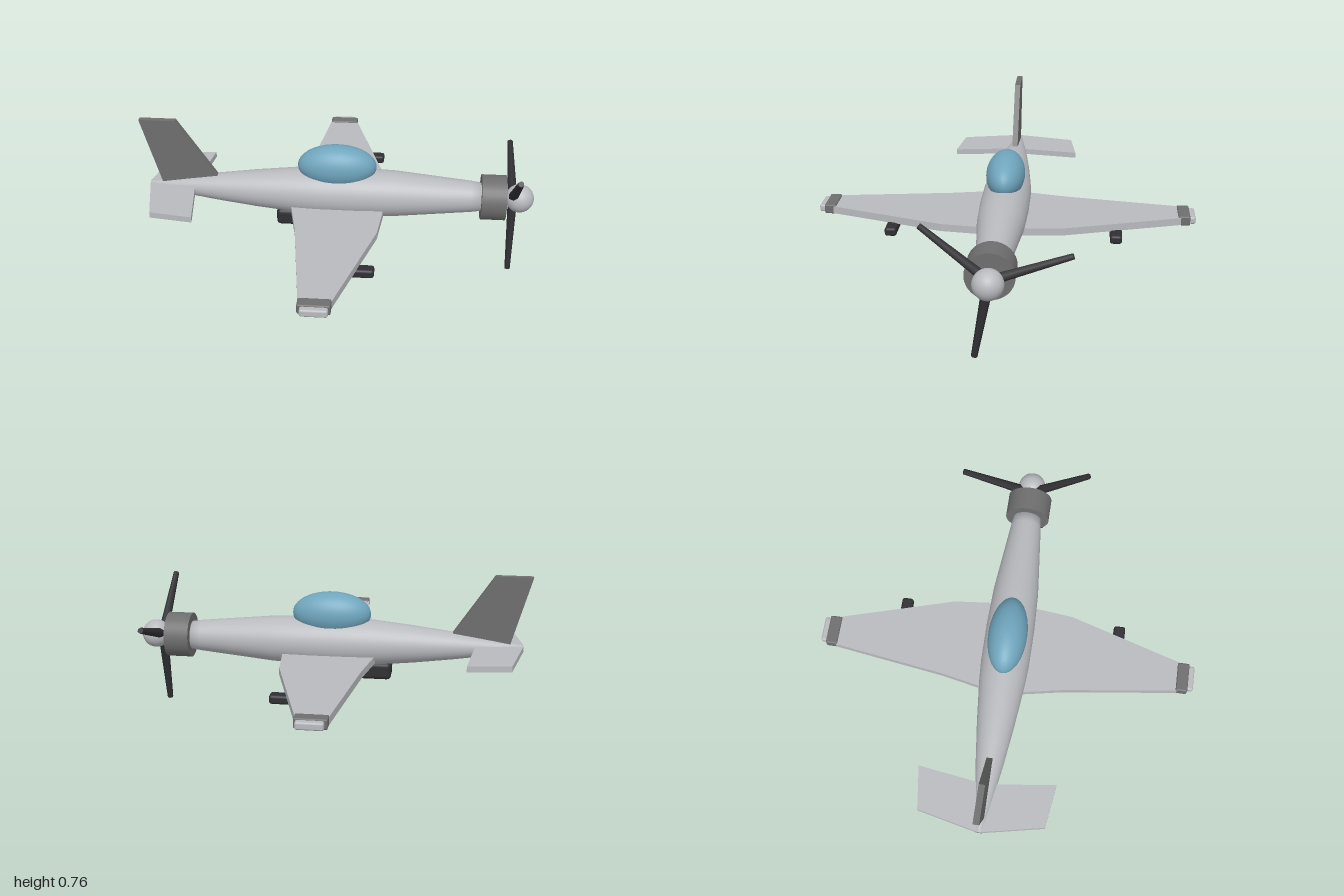
import * as THREE from 'three';
import { RoundedBoxGeometry } from 'three/addons/geometries/RoundedBoxGeometry.js';

const AXIS = 0.39; // height of the fuselage centreline

export function createModel() {
  const plane = new THREE.Group();
  plane.name = 'propellerPlane';

  const material = (name, color) => {
    const m = new THREE.MeshStandardMaterial({ color });
    m.name = name;
    return m;
  };
  const silver = material('silver', 0xb8babe);
  const grey = material('midGrey', 0x6e6e6e);
  const dark = material('darkGrey', 0x303034);
  const glass = material('blueGlass', 0x6fa5bd);

  const add = (name, geometry, mat, x = 0, y = 0, z = 0, parent = plane) => {
    const mesh = new THREE.Mesh(geometry, mat);
    mesh.name = name;
    mesh.position.set(x, y, z);
    parent.add(mesh);
    return mesh;
  };
  const outline = (points) => new THREE.Shape(points.map(([x, y]) => new THREE.Vector2(x, y)));
  const slab = (points, depth) =>
    new THREE.ExtrudeGeometry(outline(points), { depth, bevelEnabled: false });

  // Horizontal surface: half outline (x, z) mirrored across the centreline
  const mirroredSlab = (front, back, thickness) => {
    const half = [...front, ...back];
    const other = half.map(([x, z]) => [x, -z]).reverse();
    return slab([...half, ...other], thickness).rotateX(Math.PI / 2).translate(0, thickness / 2, 0);
  };

  // Fuselage: profile of (radius, x) turned about the long axis
  const profile = [[0, -0.97], [0.018, -0.97], [0.07, -0.62], [0.095, -0.42], [0.117, -0.2],
    [0.123, -0.1], [0.124, 0.1], [0.117, 0.3], [0.08, 0.68], [0.07, 0.75], [0, 0.75]];
  const body = new THREE.LatheGeometry(profile.map(([r, x]) => new THREE.Vector2(r, x)), 40);
  add('fuselage', body.rotateZ(-Math.PI / 2), silver, 0, AXIS);

  // Cowling and spinner
  add('cowling', new THREE.CylinderGeometry(0.115, 0.115, 0.125, 32).rotateZ(-Math.PI / 2),
    grey, 0.795, AXIS);
  add('spinner', new THREE.SphereGeometry(0.072, 32, 20), silver, 0.928, AXIS);

  // Three tapered propeller blades
  const propeller = new THREE.Group();
  propeller.name = 'propeller';
  propeller.position.set(0.893, AXIS, 0);
  plane.add(propeller);
  const bladeShape = new THREE.CylinderGeometry(0.015, 0.026, 0.39, 6).translate(0, 0.195, 0);
  for (let i = 0; i < 3; i++) {
    const blade = add('propellerBlade', bladeShape, dark, 0, 0, 0, propeller);
    blade.rotation.x = THREE.MathUtils.degToRad(170 + i * 120);
  }

  // Canopy
  const canopy = add('canopy', new THREE.SphereGeometry(1, 36, 24), glass, 0, 0.538);
  canopy.scale.set(0.2, 0.111, 0.098);

  // Main wing with cranked leading and trailing edges
  add('wing', mirroredSlab([[0.245, 0.06], [0.22, 0.31], [0.045, 0.9]],
    [[-0.103, 0.9], [-0.185, 0.31], [-0.235, 0.06]], 0.038), silver, 0, 0.325);

  // Wing tips, bands and underwing pods on both sides
  for (const side of [1, -1]) {
    add('wingTip', new RoundedBoxGeometry(0.128, 0.038, 0.09, 3, 0.01), silver,
      -0.027, 0.326, side * 0.923);
    add('wingTipBand', new RoundedBoxGeometry(0.152, 0.05, 0.06, 3, 0.008), grey,
      -0.029, 0.327, side * 0.91);
    add('underwingPod', new RoundedBoxGeometry(0.31, 0.045, 0.06, 3, 0.014), dark,
      0.065, 0.287, side * 0.565);
  }

  // Belly scoop
  add('bellyScoop', new RoundedBoxGeometry(0.31, 0.09, 0.124, 3, 0.022), dark, -0.155, 0.252);

  // Tailplane and fin
  add('tailplane', mirroredSlab([[-0.735, 0.01], [-0.69, 0.342]],
    [[-0.905, 0.312], [-0.97, 0.01]], 0.03), silver, 0, AXIS);
  add('tailFin', slab([[-0.897, 0.39], [-0.57, 0.39], [-0.815, 0.762], [-1, 0.762]], 0.03),
    grey, 0, 0, -0.015);

  return plane;
}
